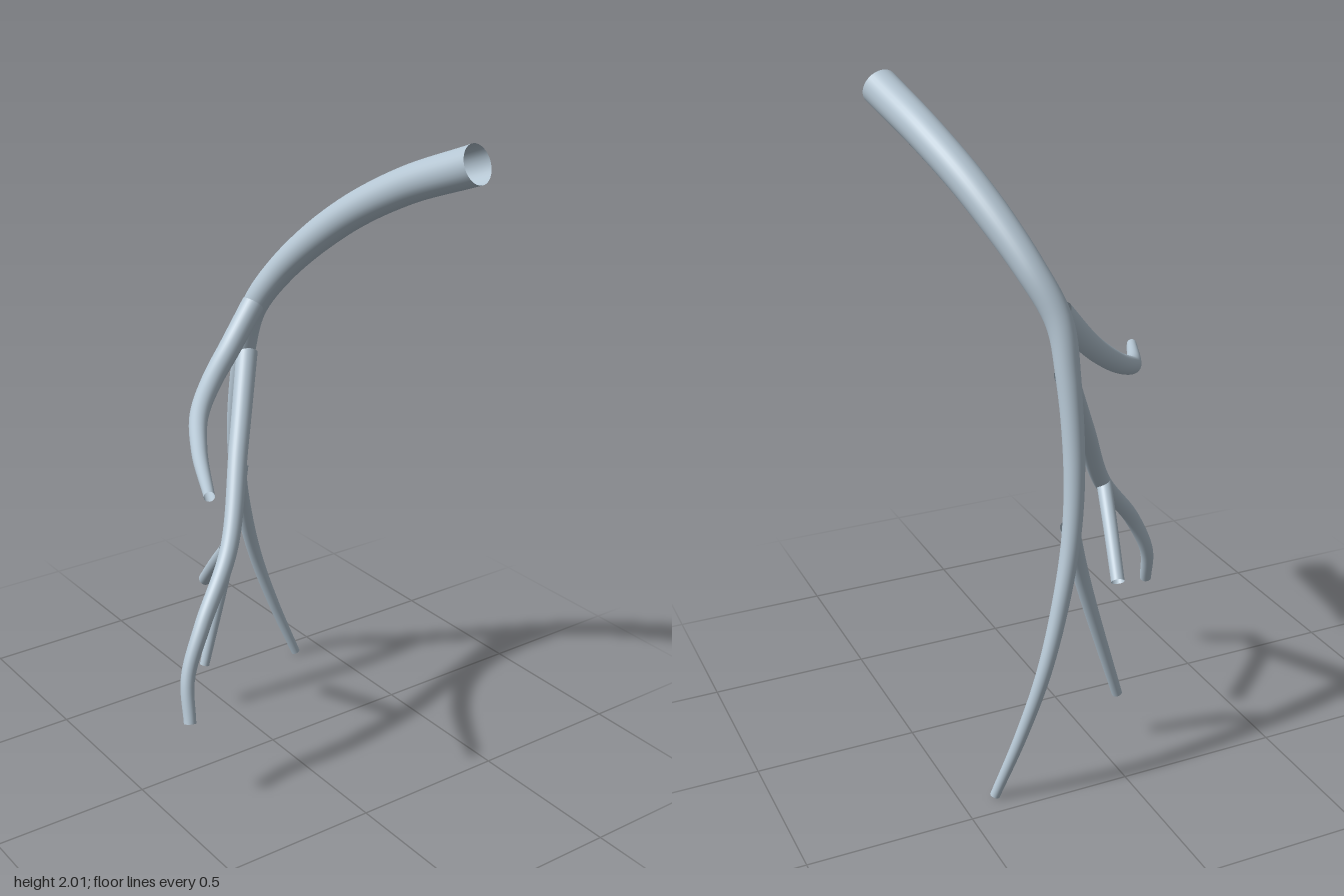
import * as THREE from 'three';

// Open tapered tube: path points plus radii spaced evenly along the length
function taperedTube(points, radii, segments, sides = 32) {
  const curve = new THREE.CatmullRomCurve3(points.map(p => new THREE.Vector3(...p)));
  const geo = new THREE.TubeGeometry(curve, segments, 1, sides, false);
  const pos = geo.attributes.position;
  const v = new THREE.Vector3();
  for (let i = 0; i <= segments; i++) {
    const t = i / segments;
    const centre = curve.getPointAt(t);
    const f = t * (radii.length - 1);
    const k = Math.min(Math.floor(f), radii.length - 2);
    const r = THREE.MathUtils.lerp(radii[k], radii[k + 1], f - k);
    for (let j = 0; j <= sides; j++) {
      const n = i * (sides + 1) + j;
      v.fromBufferAttribute(pos, n).sub(centre).multiplyScalar(r).add(centre);
      pos.setXYZ(n, v.x, v.y, v.z);
    }
  }
  return geo;
}

export function createModel() {
  const group = new THREE.Group();
  const paleBlueGrey = new THREE.MeshStandardMaterial({ color: 0xb4c5d2, side: THREE.DoubleSide });
  paleBlueGrey.name = 'paleBlueGrey';

  const parts = [
    // Main vessel, from the wide upper mouth down to the lowest tip
    {
      name: 'trunk', segments: 96, radii: [0.059, 0.051, 0.034, 0.025, 0.015],
      points: [
        [0.363, 1.953, 0.46], [0.31, 1.85, 0.21], [0.245, 1.72, 0], [0.165, 1.54, -0.185],
        [0.112, 1.4, -0.267], [0.105, 1.25, -0.312], [0.112, 1.0, -0.368], [0.138, 0.8, -0.405],
        [0.19, 0.6, -0.44], [0.255, 0.4, -0.463], [0.325, 0.2, -0.453], [0.398, 0.006, -0.428],
      ],
    },
    // Highest side branch, curling forward
    {
      name: 'upperBranch', segments: 64, radii: [0.037, 0.034, 0.029, 0.023, 0.016],
      points: [
        [0.1, 1.42, -0.25], [0, 1.305, -0.23], [-0.1, 1.225, -0.185],
        [-0.2, 1.165, -0.1], [-0.29, 1.115, 0.04], [-0.405, 1.083, 0.272],
      ],
    },
    // Middle side branch with a bent lower end
    {
      name: 'middleBranch', segments: 64, radii: [0.034, 0.031, 0.028, 0.025, 0.019],
      points: [
        [0.105, 1.25, -0.295], [-0.03, 1.0, -0.145], [-0.165, 0.745, 0],
        [-0.31, 0.56, 0.073], [-0.385, 0.41, 0.102], [-0.407, 0.283, 0.145],
      ],
    },
    // Short twig growing backward from the middle branch
    {
      name: 'backTwig', segments: 16, radii: [0.024, 0.021],
      points: [[-0.168, 0.745, -0.005], [-0.132, 0.632, -0.13], [-0.098, 0.522, -0.245]],
    },
    // Lower fork of the trunk
    {
      name: 'lowerBranch', segments: 32, radii: [0.028, 0.022, 0.016],
      points: [[0.135, 0.82, -0.385], [0.085, 0.66, -0.347], [0.035, 0.5, -0.325], [-0.071, 0.165, -0.302]],
    },
  ];

  for (const { name, points, radii, segments } of parts) {
    const mesh = new THREE.Mesh(taperedTube(points, radii, segments), paleBlueGrey);
    mesh.name = name;
    group.add(mesh);
  }
  return group;
}
